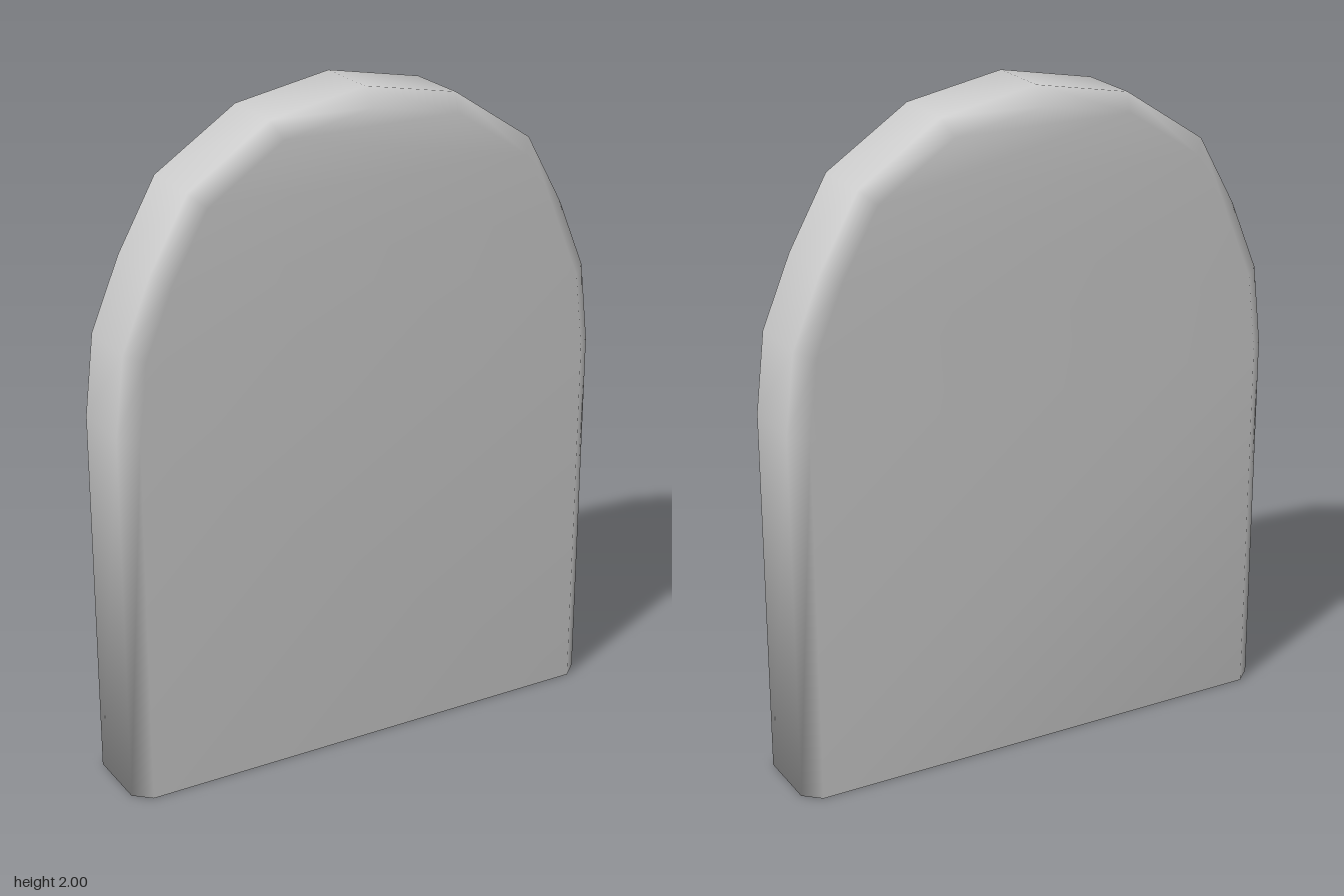
import * as THREE from 'three';

// Right half of the arched outline, from the base up to the crown
const HALF = [[0.775, 0], [0.775, 1.12], [0.747, 1.36], [0.66, 1.57], [0.543, 1.78], [0.293, 1.945], [0, 2]];
const BEVEL = 0.05;

// Full outline, running up the right side, over the crown and down the left
function archOutline() {
  const right = HALF.map(([x, y]) => new THREE.Vector2(x, y));
  const left = right.slice(0, -1).reverse().map((p) => new THREE.Vector2(-p.x, p.y));
  return [...right, ...left];
}

// Moves each point inward along its mitred normal; the base stays at y = 0
function inset(points, amount) {
  const normal = (a, b) => new THREE.Vector2(b.y - a.y, a.x - b.x).normalize();
  return points.map((p, i) => {
    const next = points[i + 1], prev = points[i - 1];
    const n1 = prev ? normal(prev, p) : normal(p, next);
    const n2 = next ? normal(p, next) : n1;
    const mitre = n1.clone().add(n2);
    mitre.multiplyScalar(amount / (1 + n1.dot(n2)));
    return p.clone().sub(mitre);
  });
}

function slabGeometry() {
  const outer = archOutline();
  const inner = inset(outer, BEVEL);
  const rings = [[inner, 0.145], [outer, 0.1], [outer, -0.1], [inner, -0.145]];
  const n = outer.length;
  const positions = [], index = [];
  for (const [ring, z] of rings) for (const p of ring) positions.push(p.x, p.y, z);

  const quad = (a, b, c, d) => {
    if (b !== c) index.push(a, b, c);
    index.push(a, c, d);
  };
  // Rim and both bevels, then the flat base below them
  for (let k = 0; k < 3; k++) {
    const r = k * n, s = r + n;
    for (let i = 0; i < n - 1; i++) quad(r + i, s + i, s + i + 1, r + i + 1);
    quad(r, r + n - 1, s + n - 1, s);
  }
  // Front and back faces, in rows from side to side
  const back = 3 * n;
  for (let i = 0; i < (n - 1) / 2; i++) {
    const j = n - 1 - i;
    quad(i, i + 1, j - 1, j);
    index.push(back + i, back + j, back + j - 1);
    if (i + 1 !== j - 1) index.push(back + i, back + j - 1, back + i + 1);
  }

  const geometry = new THREE.BufferGeometry();
  geometry.setAttribute('position', new THREE.Float32BufferAttribute(positions, 3));
  geometry.setIndex(index);
  geometry.computeVertexNormals(); // shared vertices keep the whole slab smooth
  return geometry;
}

export function createModel() {
  const group = new THREE.Group();
  group.name = 'archedSlab';
  const slab = new THREE.Mesh(slabGeometry(), new THREE.MeshStandardMaterial({ color: 0xcccccc }));
  slab.name = 'slab';
  group.add(slab);
  return group;
}
